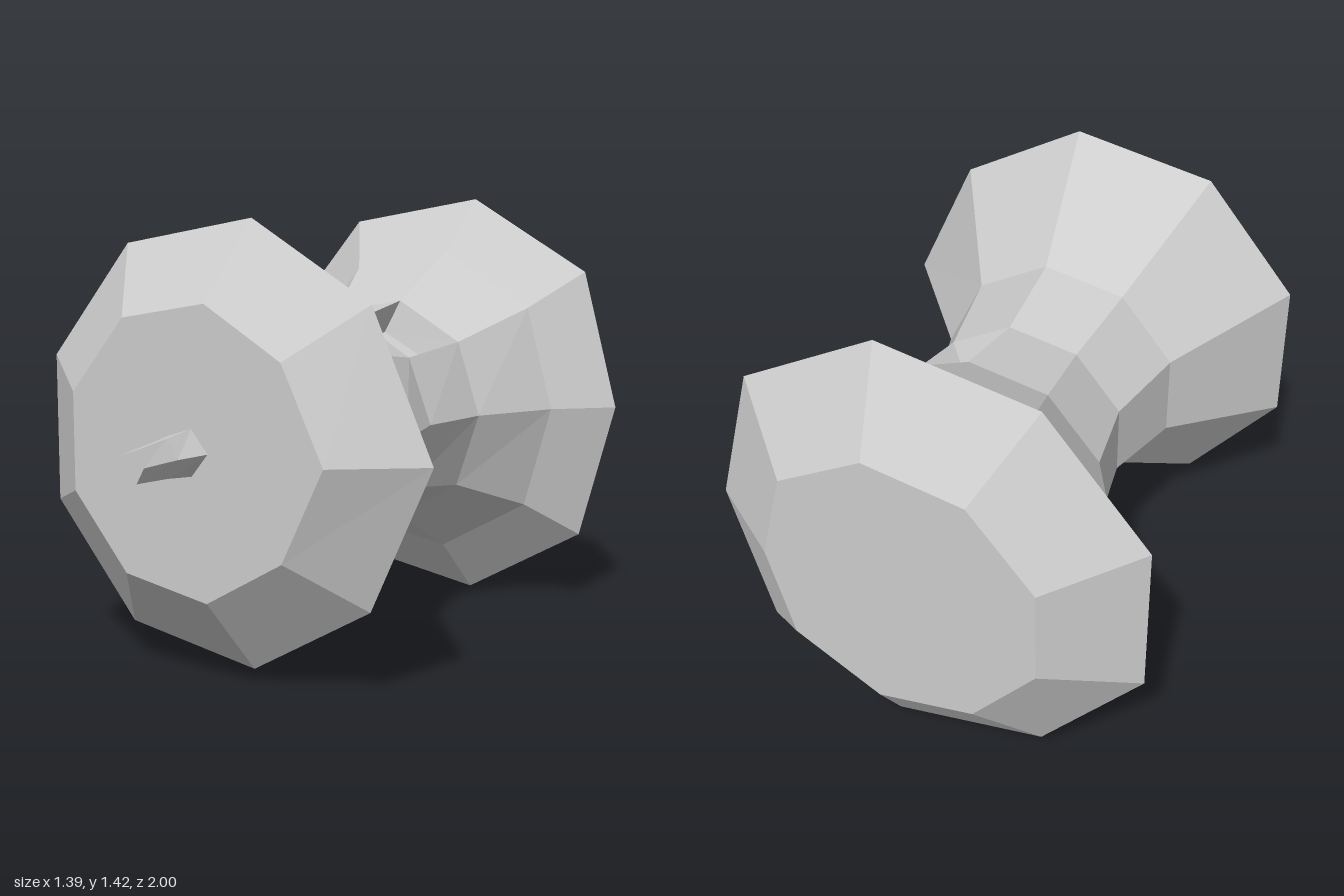
import * as THREE from 'three';

const CY = 0.72;

// One polygon ring around the z axis; x0 is where the corner facing +x sits
function ring([z, cx, r, x0], sides) {
  return Array.from({ length: sides }, (_, i) => {
    const a = (i / sides) * Math.PI * 2;
    return [i === 0 ? x0 : cx + r * Math.cos(a), CY + r * Math.sin(a), z];
  });
}

// Skin a run of rings from front to back; one cell may be left open
function loft(rings, backCap, open) {
  const pos = [];
  const tri = (a, b, c) => pos.push(...a, ...b, ...c);
  const quad = (a, b, c, d) => { tri(a, b, c); tri(a, c, d); };
  const n = rings[0].length;
  for (let k = 0; k < rings.length - 1; k++) {
    for (let i = 0; i < n; i++) {
      const j = (i + 1) % n, f = rings[k], b = rings[k + 1];
      const cell = [f[i], b[i], b[j], f[j]];
      if (open && open.ring === k && open.side === i) {
        // Recess: four sloping walls and a floor
        for (let e = 0; e < 4; e++) {
          const g = (e + 1) % 4;
          quad(cell[e], cell[g], open.floor[g], open.floor[e]);
        }
        quad(...open.floor);
      } else quad(...cell);
    }
  }
  const first = rings[0], last = rings[rings.length - 1];
  for (let i = 1; i < n - 1; i++) {
    tri(first[0], first[i], first[i + 1]);
    if (backCap) tri(last[0], last[i + 1], last[i]);
  }
  const geo = new THREE.BufferGeometry();
  geo.setAttribute('position', new THREE.Float32BufferAttribute(pos, 3));
  geo.computeVertexNormals();
  return geo;
}

export function createModel() {
  const group = new THREE.Group();
  group.name = 'spool';
  const grey = new THREE.MeshStandardMaterial({ color: 0xcccccc, flatShading: true });
  grey.name = 'plain grey';

  // Nine-sided spool body: z, centre x, radius, x of the +x corner
  const bodyRings = [
    [0.735, -0.025, 0.44, 0.45],
    [0.55, -0.03, 0.68, 0.69],
    [0.165, -0.03, 0.39, 0.39],
    [-0.115, -0.02, 0.332, 0.315],
    [-0.385, -0.02, 0.378, 0.35],
    [-0.655, -0.015, 0.535, 0.49],
    [-0.815, -0.018, 0.722, 0.66],
    [-1, -0.015, 0.454, 0.41],
  ].map((p) => ring(p, 9));
  const recess = {
    ring: 3,
    side: 1,
    floor: [[0.17, 0.86, -0.17], [0.195, 0.88, -0.36], [0.0, 0.985, -0.36], [0.0, 0.955, -0.17]],
  };
  const body = new THREE.Mesh(loft(bodyRings, true, recess), grey);
  body.name = 'spoolBody';
  group.add(body);

  // Five-sided tapered peg on the front face
  const pegRings = [
    [1, 0.003, 0.049, 0.045],
    [0.85, -0.013, 0.06, 0.043],
    [0.735, -0.02, 0.073, 0.06],
  ].map((p) => ring(p, 5));
  const peg = new THREE.Mesh(loft(pegRings, false), grey);
  peg.name = 'frontPeg';
  peg.position.y = 0.005;
  group.add(peg);

  return group;
}
